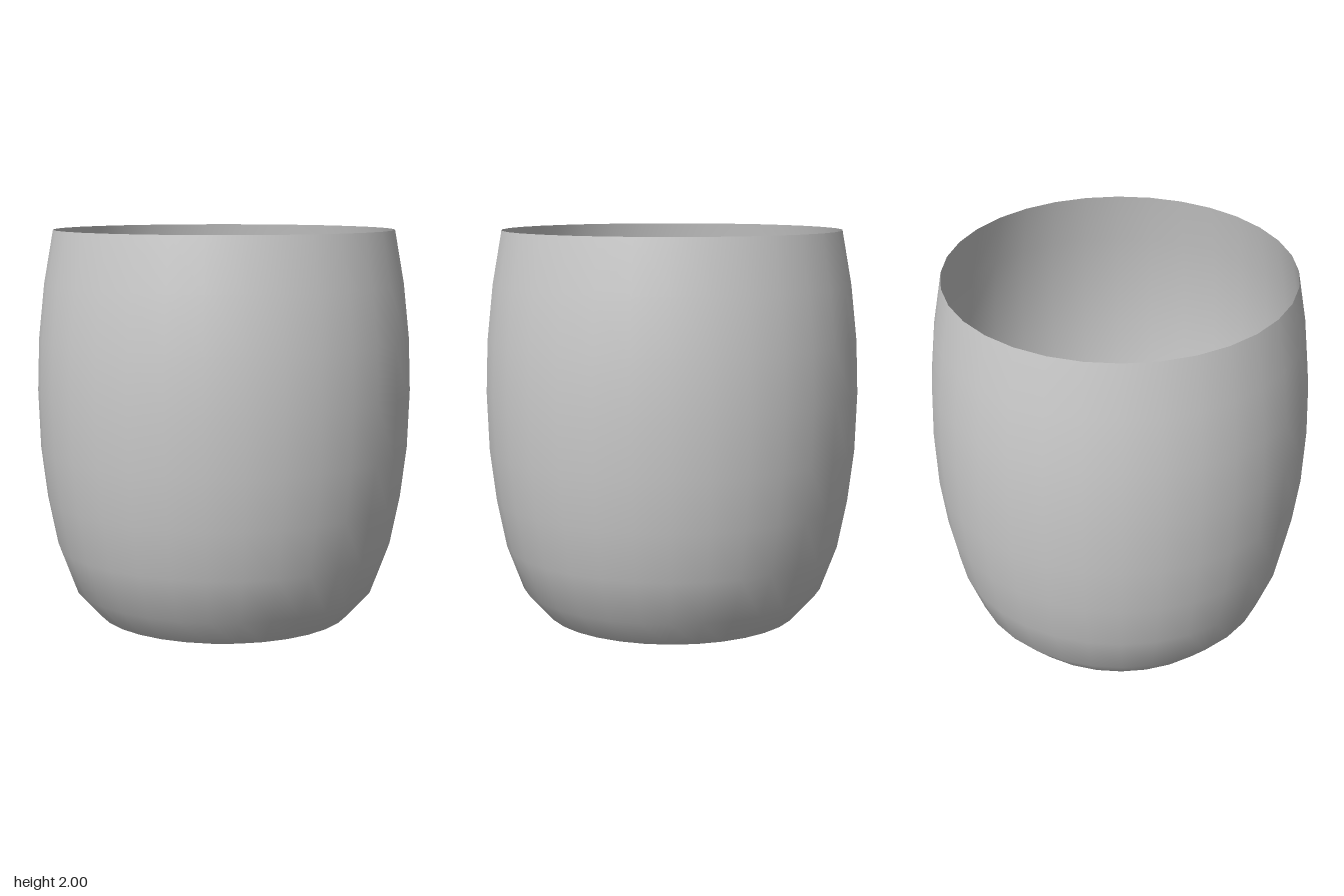
import * as THREE from 'three';

export function createModel() {
  const group = new THREE.Group();
  group.name = 'cup';

  // Thin barrel-shaped wall, open at the top and the bottom: [radius, height]
  const profile = [
    [0.663, 0], [0.788, 0.14], [0.873, 0.37], [0.922, 0.62], [0.953, 0.88],
    [0.963, 1.18], [0.953, 1.45], [0.922, 1.73], [0.873, 2],
  ].map(([r, y]) => new THREE.Vector2(r, y));

  const wall = new THREE.Mesh(
    new THREE.LatheGeometry(profile, 32),
    new THREE.MeshStandardMaterial({ color: 0xcccccc, side: THREE.DoubleSide }),
  );
  wall.name = 'wall';
  group.add(wall);
  return group;
}
